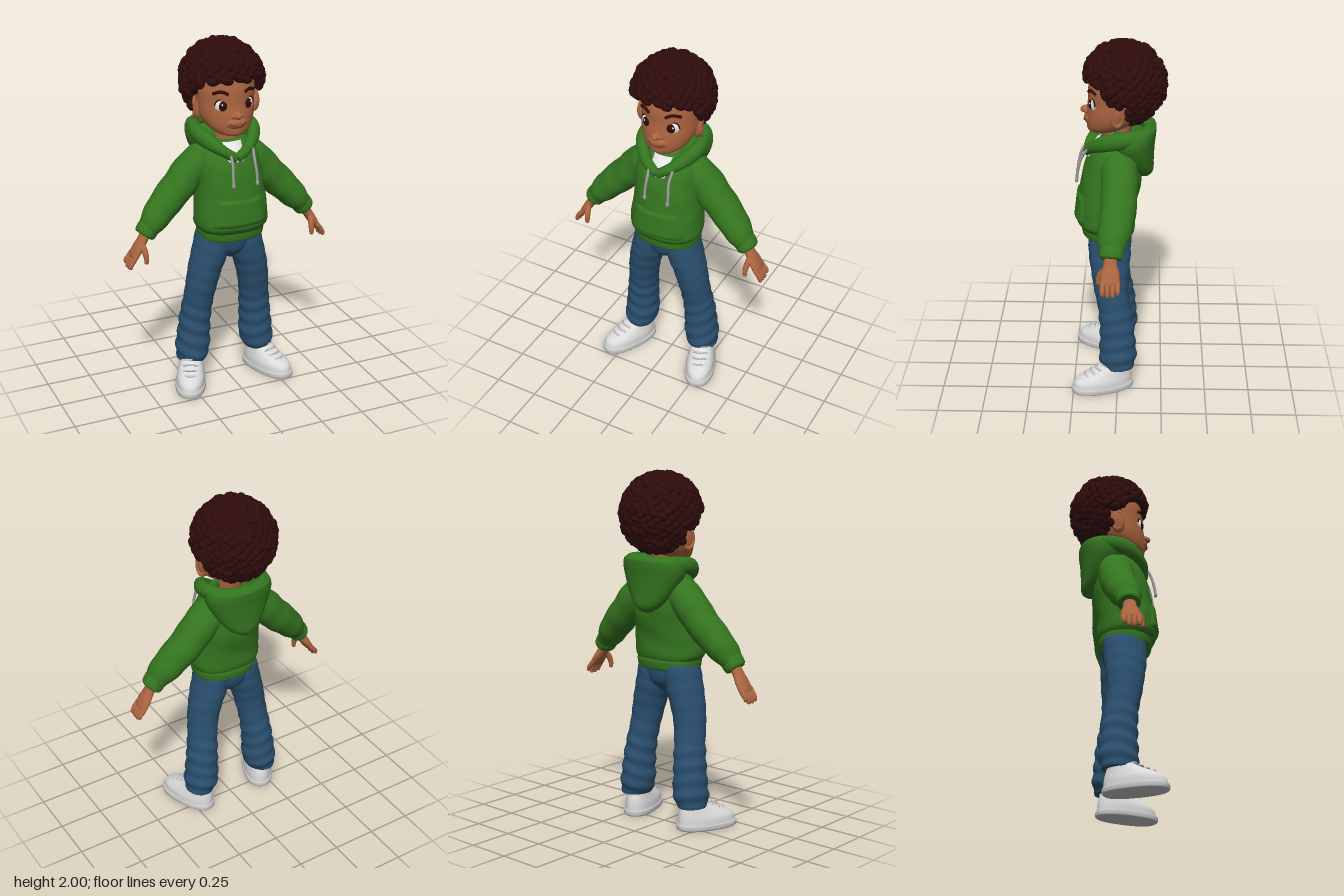
import * as THREE from 'three';
import { mergeGeometries } from 'three/addons/utils/BufferGeometryUtils.js';

const mat = (name, color, extra = {}) => Object.assign(new THREE.MeshStandardMaterial({ color, ...extra }), { name });
const M = {
  skin: mat('skin', 0xac6540),
  hair: mat('hair', 0x300c0c),
  hoodie: mat('hoodie green', 0x34751f, { side: THREE.DoubleSide }),
  jeans: mat('denim blue', 0x2a5070),
  shoe: mat('shoe white', 0xdadada),
  sole: mat('sole grey', 0xc4c4c4),
  white: mat('white', 0xf2f2f2),
  iris: mat('dark brown', 0x2b0d08),
  cord: mat('cord grey', 0x9c9c9c),
  lip: mat('lip brown', 0x7c3f28),
};
const V = (x, y, z) => new THREE.Vector3(x, y, z);
const X = V(1, 0, 0), Y = V(0, 1, 0), Z = V(0, 0, 1);

// Smooth skin over rows of [x, y, z, radiusU, radiusV]; flat keeps the rings level
function loft(rows, { ref = Z, flat = false, k = 2, seg = 28, steps = 5, bump = () => 1 } = {}) {
  const path = new THREE.CatmullRomCurve3(rows.map(r => V(r[0], r[1], r[2])), false, 'catmullrom');
  const size = new THREE.CatmullRomCurve3(rows.map(r => V(r[3], r[4], 0)), false, 'catmullrom');
  const n = (rows.length - 1) * steps, pos = [], idx = [];
  const pow = c => Math.sign(c) * Math.abs(c) ** (2 / k);
  for (let i = 0; i <= n; i++) {
    const t = i / n, c = path.getPoint(t), r = size.getPoint(t);
    const T = flat ? V(0, Math.sign(rows.at(-1)[1] - rows[0][1]), 0) : path.getTangent(t);
    const B = ref.clone().addScaledVector(T, -ref.dot(T)).normalize();
    const U = T.clone().cross(B);
    for (let j = 0; j < seg; j++) {
      const a = j / seg * Math.PI * 2, f = bump(c.y, a);
      const p = c.clone().addScaledVector(U, r.x * f * pow(Math.cos(a))).addScaledVector(B, r.y * f * pow(Math.sin(a)));
      pos.push(p.x, p.y, p.z);
    }
  }
  for (let i = 0; i < n; i++) for (let j = 0; j < seg; j++) {
    const a = i * seg + j, d = i * seg + (j + 1) % seg, b = a + seg, c = d + seg;
    idx.push(a, b, c, a, c, d);
  }
  const e0 = pos.length / 3, last = n * seg, p0 = path.getPoint(0), p1 = path.getPoint(1);
  pos.push(p0.x, p0.y, p0.z, p1.x, p1.y, p1.z);
  for (let j = 0; j < seg; j++) {
    const q = (j + 1) % seg;
    idx.push(e0, j, q, e0 + 1, last + q, last + j);
  }
  const g = new THREE.BufferGeometry();
  g.setAttribute('position', new THREE.Float32BufferAttribute(pos, 3));
  g.setIndex(idx);
  g.computeVertexNormals();
  return g;
}
function add(parent, name, geo, material) {
  const m = new THREE.Mesh(geo, material);
  m.name = name;
  parent.add(m);
  return m;
}
function ball(parent, name, material, [x, y, z], [a, b, c]) {
  const m = add(parent, name, new THREE.SphereGeometry(1, 24, 16), material);
  m.position.set(x, y, z);
  m.scale.set(a, b, c);
  return m;
}
const cord = (pts, r) => new THREE.TubeGeometry(new THREE.CatmullRomCurve3(pts.map(p => V(...p))), 16, r, 8);
const mirrorRows = (rows, s) => rows.map(([x, ...rest]) => [x * s, ...rest]);

// Curly hair: a cap and many curls that follow one hairline rule
function makeHair(parent) {
  let seed = 7;
  const rnd = () => (seed = (seed * 16807) % 2147483647) / 2147483647;
  const centre = V(-0.005, 1.765, -0.03);
  const hairline = z => z > 0.1 ? 1.805 : z > 0.03 ? 1.7 + (z - 0.03) * 1.5 : z > -0.05 ? 1.7 : 1.565;
  const cap = new THREE.SphereGeometry(0.21, 48, 36), p = cap.attributes.position;
  for (let i = 0; i < p.count; i++) {
    const v = V(0, 0, 0).fromBufferAttribute(p, i);
    if (v.y + centre.y < hairline(v.z + centre.z)) v.multiplyScalar(0.55);
    p.setXYZ(i, v.x, v.y, v.z);
  }
  cap.computeVertexNormals();
  add(parent, 'hairCap', cap, M.hair).position.copy(centre);
  const curls = [], N = 400, dummy = new THREE.Object3D();
  for (let i = 0; i < N; i++) {
    const y = 1 - 2 * (i + 0.5) / N, r = Math.sqrt(1 - y * y), a = i * 2.39996;
    const dir = V(Math.cos(a) * r, y, Math.sin(a) * r);
    dummy.position.copy(centre).addScaledVector(dir, 0.205 + rnd() * 0.012);
    if (dummy.position.y < hairline(dummy.position.z)) continue;
    dummy.lookAt(dummy.position.clone().add(dir));
    dummy.rotateZ(rnd() * Math.PI);
    const s = 0.85 + rnd() * 0.3;
    dummy.scale.set(0.036 * s, 0.025 * s, 0.025 * s);
    dummy.updateMatrix();
    curls.push(new THREE.SphereGeometry(1, 9, 7).applyMatrix4(dummy.matrix));
  }
  add(parent, 'curls', mergeGeometries(curls), M.hair);
}

function makeHead(parent) {
  add(parent, 'head', loft([
    [0, 1.492, 0.1, 0.03, 0.04], [0, 1.505, 0.085, 0.075, 0.078], [0, 1.53, 0.06, 0.112, 0.11],
    [0, 1.57, 0.03, 0.14, 0.142], [0, 1.62, 0.01, 0.155, 0.16], [0, 1.68, 0, 0.16, 0.162],
    [0, 1.75, -0.01, 0.165, 0.17], [0, 1.82, -0.02, 0.155, 0.16], [0, 1.9, -0.03, 0.09, 0.1]],
  { flat: true, seg: 40 }), M.skin);
  add(parent, 'neck', loft([[0, 1.36, 0.01, 0.085, 0.085], [0, 1.45, 0.01, 0.072, 0.075], [0, 1.56, 0, 0.075, 0.085]], { flat: true }), M.skin);
  ball(parent, 'muzzle', M.skin, [0, 1.572, 0.125], [0.075, 0.045, 0.06]);
  ball(parent, 'nose', M.skin, [0, 1.617, 0.17], [0.024, 0.022, 0.035]);
  add(parent, 'mouth', cord([[-0.048, 1.573, 0.17], [0, 1.56, 0.185], [0.048, 1.573, 0.17]], 0.004), M.lip);
  for (const s of [-1, 1]) {
    ball(parent, 'nostril', M.skin, [s * 0.02, 1.612, 0.165], [0.014, 0.014, 0.02]);
    const eye = new THREE.Group();
    eye.name = 'eye';
    eye.position.set(s * 0.074, 1.668, 0.128);
    eye.rotation.y = s * 0.4;
    ball(eye, 'eyeWhite', M.white, [0, 0, 0], [0.039, 0.036, 0.022]);
    ball(eye, 'iris', M.iris, [-s * 0.006, 0, 0.009], [0.026, 0.029, 0.018]);
    ball(eye, 'glint', M.white, [0.004, 0.011, 0.025], [0.005, 0.006, 0.003]);
    add(eye, 'lash', new THREE.TorusGeometry(0.037, 0.004, 6, 20, Math.PI), M.iris).position.z = 0.009;
    parent.add(eye);
    add(parent, 'eyebrow', cord([[s * 0.045, 1.733, 0.156], [s * 0.08, 1.748, 0.141], [s * 0.118, 1.735, 0.111]], 0.009), M.hair);
    const ear = ball(parent, 'ear', M.skin, [s * 0.165, 1.632, -0.002], [0.018, 0.066, 0.04]);
    ear.rotation.set(-0.15, s * 0.35, -s * 0.12);
    const rim = add(parent, 'earRim', new THREE.TorusGeometry(0.036, 0.008, 8, 24), M.skin);
    rim.position.set(s * 0.177, 1.637, 0);
    rim.rotation.y = Math.PI / 2 + s * 0.35;
    rim.scale.set(0.85, 1.5, 1);
  }
  makeHair(parent);
}

function makeHoodie(parent) {
  const k = 2.3, cx = 0.008;
  add(parent, 'torso', loft([
    [cx, 0.95, 0.06, 0.188, 0.148], [cx, 0.99, 0.065, 0.207, 0.165], [cx, 1.08, 0.06, 0.203, 0.163],
    [cx, 1.2, 0.04, 0.19, 0.168], [0, 1.3, 0.025, 0.186, 0.16], [0, 1.38, 0.012, 0.172, 0.138],
    [0, 1.44, 0.005, 0.13, 0.105], [0, 1.46, 0.005, 0.08, 0.08]],
  { flat: true, k, seg: 40, bump: (y, a) => 1 + 0.008 * Math.sin(y * 45 + 3 * Math.sin(2 * a)) }), M.hoodie);
  add(parent, 'waistband', loft([[cx, 0.9, 0.055, 0.178, 0.138], [cx, 0.91, 0.055, 0.186, 0.146], [cx, 0.95, 0.055, 0.19, 0.15], [cx, 0.965, 0.058, 0.18, 0.14]],
    { flat: true, k, seg: 40 }), M.hoodie);
  // Front pouch bent round the belly
  const pouch = new THREE.PlaneGeometry(2, 1, 28, 14), p = pouch.attributes.position;
  for (let i = 0; i < p.count; i++) {
    const u = p.getX(i), v = p.getY(i) + 0.5, y = 0.985 + 0.18 * v;
    const x = u * (0.17 - 0.055 * Math.max(0, v - 0.2) ** 1.3);
    const a = 0.207 - 0.08 * (y - 0.99), edge = Math.min(1, (1 - Math.abs(u)) * 7, v * 7, (1 - v) * 7);
    const z = 0.066 - 0.12 * (y - 0.99) + 0.165 * (1 - (Math.abs(x) / a) ** k) ** (1 / k);
    p.setXYZ(i, x + cx, y, z - 0.012 + 0.027 * edge);
  }
  pouch.computeVertexNormals();
  add(parent, 'pouchPocket', pouch, M.hoodie);
  // Hood lying on the back, with a hollow bowl and a thick rim round the neck
  add(parent, 'hoodBag', loft([
    [0, 1.235, -0.135, 0.03, 0.035], [0, 1.27, -0.125, 0.085, 0.068], [0, 1.34, -0.105, 0.14, 0.09],
    [0, 1.43, -0.08, 0.185, 0.12], [0, 1.49, -0.085, 0.192, 0.122], [0, 1.53, -0.095, 0.17, 0.108],
    [0, 1.51, -0.075, 0.13, 0.075], [0, 1.44, -0.05, 0.1, 0.05]], { flat: true, k: 2.2, seg: 40 }), M.hoodie);
  const half = [[0.075, 1.42, 0.145, 0.03, 0.03], [0.145, 1.472, 0.065, 0.036, 0.045],
    [0.162, 1.495, -0.03, 0.037, 0.045], [0.12, 1.51, -0.135, 0.037, 0.036]];
  const front = [0, 1.372, 0.168, 0.022, 0.026];
  add(parent, 'hoodRim', loft([front, ...half, [0, 1.51, -0.17, 0.034, 0.034], ...mirrorRows(half, -1).reverse(), front],
    { ref: Y, seg: 18, steps: 7 }), M.hoodie);
  add(parent, 'shirtCollar', loft([[0, 1.35, 0.06, 0.1, 0.112], [0, 1.4, 0.055, 0.09, 0.1], [0, 1.45, 0.04, 0.075, 0.078]], { flat: true }), M.white);
  for (const s of [-1, 1]) {
    const x = 0.025 + s * 0.07;
    add(parent, 'drawstring', cord([[x, 1.42, 0.165], [x - s * 0.005, 1.36, 0.2], [x, 1.29, 0.218], [x, 1.24, 0.225]], 0.008), M.cord);
    ball(parent, 'drawstringTip', M.cord, [x, 1.24, 0.225], [0.01, 0.016, 0.01]);
  }
}

function makeArm(parent, s) {
  const arm = new THREE.Group();
  arm.name = s > 0 ? 'leftArm' : 'rightArm';
  parent.add(arm);
  const part = (name, rows, m, o) => add(arm, name, loft(mirrorRows(rows, s), o), m);
  part('sleeve', [[0.09, 1.37, -0.005, 0.075, 0.09], [0.14, 1.335, -0.01, 0.09, 0.098], [0.2, 1.28, -0.012, 0.095, 0.1],
    [0.27, 1.2, -0.01, 0.093, 0.098], [0.35, 1.12, 0, 0.087, 0.094], [0.42, 1.045, 0.018, 0.076, 0.086], [0.468, 0.99, 0.025, 0.056, 0.065]],
  M.hoodie, { bump: (y, a) => 1 + 0.022 * Math.sin(y * 62 + 2 * Math.sin(a)) });
  part('cuff', [[0.452, 1.012, 0.024, 0.054, 0.062], [0.464, 0.997, 0.025, 0.06, 0.067], [0.484, 0.968, 0.026, 0.058, 0.065], [0.492, 0.957, 0.027, 0.05, 0.056]], M.hoodie);
  part('palm', [[0.478, 0.975, 0.028, 0.03, 0.036], [0.505, 0.93, 0.03, 0.027, 0.037], [0.53, 0.89, 0.03, 0.025, 0.05],
    [0.555, 0.85, 0.03, 0.021, 0.05], [0.563, 0.836, 0.03, 0.014, 0.044]], M.skin);
  const o = { seg: 12 };
  for (let i = 0; i < 4; i++) {
    const z = -0.01 + 0.027 * i, d = i === 0 ? 0.015 : i === 3 ? 0.006 : 0;
    part('finger', [[0.55, 0.86, z, 0.014, 0.014], [0.574, 0.828, z, 0.014, 0.014], [0.586, 0.802 + d, z, 0.013, 0.013],
      [0.589, 0.785 + d, z, 0.01, 0.01], [0.589, 0.779 + d, z, 0.003, 0.003]], M.skin, o);
  }
  part('thumb', [[0.515, 0.92, 0.05, 0.016, 0.018], [0.508, 0.88, 0.08, 0.017, 0.017], [0.504, 0.845, 0.092, 0.015, 0.014],
    [0.506, 0.818, 0.094, 0.011, 0.011], [0.507, 0.812, 0.094, 0.003, 0.003]], M.skin, { ...o, ref: X });
}

function makeLeg(parent, s) {
  const leg = new THREE.Group();
  leg.name = s > 0 ? 'leftLeg' : 'rightLeg';
  parent.add(leg);
  // Trouser leg, bunched below the knee
  add(leg, 'trouserLeg', loft(mirrorRows([
    [0.09, 0.93, 0.045, 0.09, 0.12], [0.112, 0.8, 0.045, 0.1, 0.117], [0.14, 0.7, 0.042, 0.094, 0.106], [0.16, 0.6, 0.036, 0.088, 0.096],
    [0.174, 0.5, 0.02, 0.085, 0.092], [0.186, 0.4, 0.006, 0.088, 0.096], [0.194, 0.3, 0, 0.092, 0.1],
    [0.2, 0.21, -0.002, 0.097, 0.106], [0.208, 0.16, 0, 0.088, 0.1], [0.21, 0.135, 0, 0.08, 0.092]], s),
  { flat: true, seg: 32, steps: 8, bump: (y, a) => 1 + (y < 0.5 ? 0.04 : 0.012) * Math.sin(y * 75 + 2.2 * Math.sin(a + s)) }), M.jeans);
  const shoe = new THREE.Group();
  shoe.name = 'shoe';
  shoe.position.set(s * 0.208, 0, -0.005);
  shoe.rotation.y = s > 0 ? 0.33 : -0.43;
  leg.add(shoe);
  const toe = (y, a) => 1 + 0.03 * Math.sin(a);
  add(shoe, 'sole', loft([[0, 0, 0.09, 0.08, 0.172], [0, 0.008, 0.09, 0.087, 0.18], [0, 0.03, 0.09, 0.087, 0.18], [0, 0.038, 0.09, 0.078, 0.17]],
    { flat: true, k: 2.4, seg: 36, bump: toe }), M.sole);
  add(shoe, 'upper', loft([[0, 0.03, 0.09, 0.082, 0.174], [0, 0.07, 0.085, 0.08, 0.166], [0, 0.1, 0.065, 0.072, 0.14],
    [0, 0.13, 0.035, 0.064, 0.1], [0, 0.16, 0.012, 0.06, 0.076], [0, 0.19, 0.005, 0.054, 0.066]], { flat: true, k: 2.2, seg: 36, bump: toe }), M.shoe);
  for (let i = 0; i < 4; i++) {
    const y = 0.106 + 0.018 * i, z = 0.195 - 0.033 * i;
    add(shoe, 'lace', cord([[-0.042, y - 0.01, z - 0.014], [0, y + 0.002, z + 0.004], [0.042, y - 0.01, z - 0.014]], 0.006), M.sole);
  }
}

export function createModel() {
  const boy = new THREE.Group();
  boy.name = 'boy';
  makeHead(boy);
  makeHoodie(boy);
  add(boy, 'trouserSeat', loft([[0, 0.77, 0.045, 0.03, 0.06], [0, 0.82, 0.045, 0.12, 0.105], [0, 0.88, 0.045, 0.175, 0.122], [0, 0.94, 0.05, 0.178, 0.125]], { flat: true }), M.jeans);
  for (const s of [-1, 1]) {
    makeArm(boy, s);
    makeLeg(boy, s);
  }
  return boy;
}
